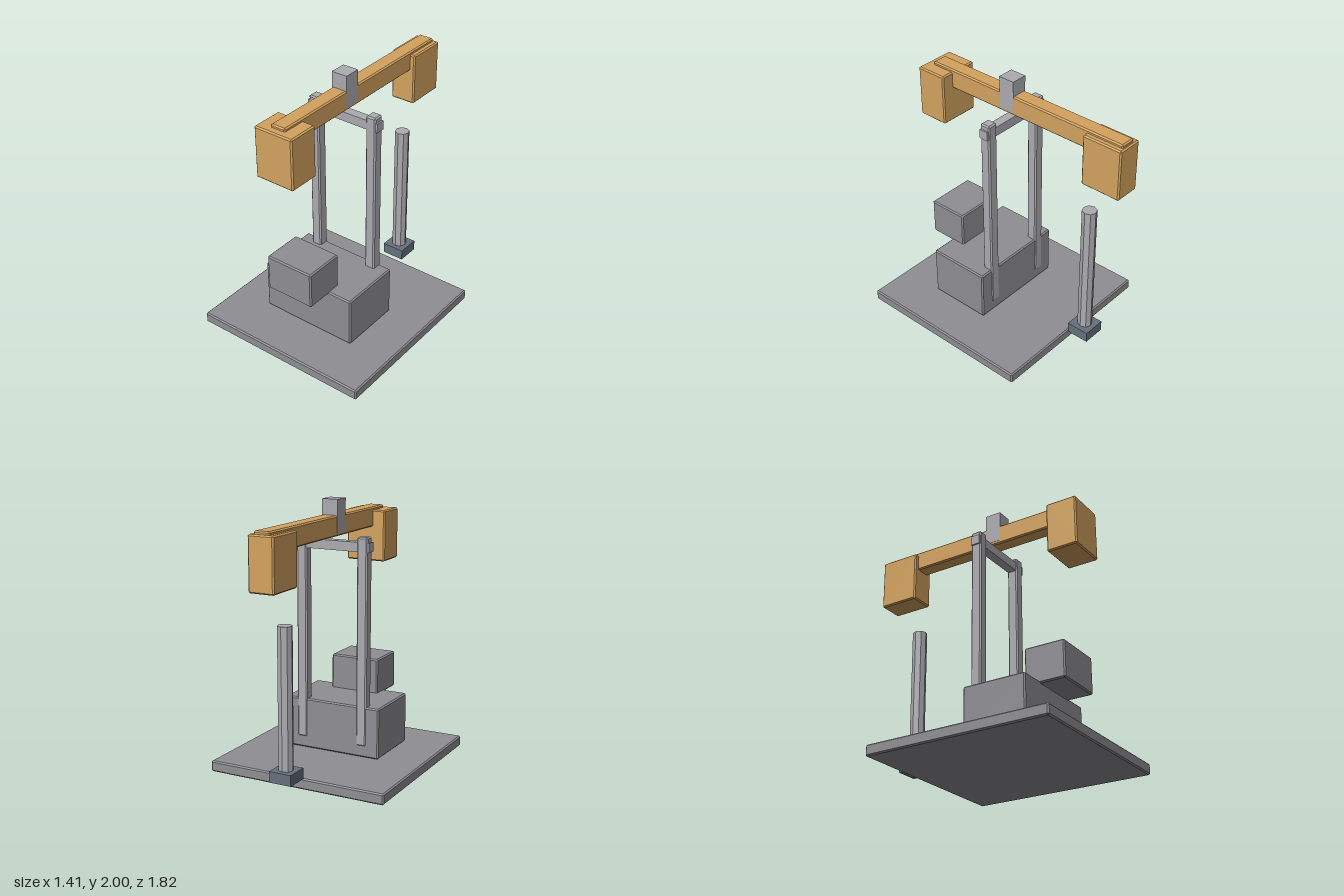
import * as THREE from 'three';
import { ConvexGeometry } from 'three/addons/geometries/ConvexGeometry.js';

const paint = (color) => new THREE.MeshStandardMaterial({ color, flatShading: true });

// Box with all edges chamfered by c: three points near each corner, hulled.
function chamferBox(w, h, d, c = 0.01) {
  const points = [];
  for (const sx of [-1, 1]) for (const sy of [-1, 1]) for (const sz of [-1, 1]) {
    for (const [a, b, e] of [[0, c, c], [c, 0, c], [c, c, 0]]) {
      points.push(new THREE.Vector3(sx * (w / 2 - a), sy * (h / 2 - b), sz * (d / 2 - e)));
    }
  }
  return new ConvexGeometry(points);
}

export function createModel() {
  const model = new THREE.Group();
  model.name = 'beamMachine';
  const darkGrey = paint(0x8f8f94);
  const lightGrey = paint(0xababb1);
  const slate = paint(0x66717d);
  const orange = paint(0xd4a35f);

  // Adds a box from its extents along each axis.
  function block(name, material, [x0, x1], [y0, y1], [z0, z1], chamfer = 0.01) {
    const size = [x1 - x0, y1 - y0, z1 - z0];
    const geometry = chamfer ? chamferBox(...size, chamfer) : new THREE.BoxGeometry(...size);
    const mesh = new THREE.Mesh(geometry, material);
    mesh.name = name;
    mesh.position.set((x0 + x1) / 2, (y0 + y1) / 2, (z0 + z1) / 2);
    model.add(mesh);
  }

  // Base and stacked housings
  block('basePlate', darkGrey, [-0.705, 0.705], [0, 0.083], [-0.505, 0.91]);
  block('lowerHousing', darkGrey, [-0.388, 0.388], [0.095, 0.482], [0.063, 0.555]);
  block('upperHousing', darkGrey, [-0.195, 0.195], [0.465, 0.747], [0.438, 0.752]);

  // Twin posts and the pivot bar between them
  for (const side of [-1, 1]) {
    const x = side * 0.247;
    block(side > 0 ? 'leftPost' : 'rightPost', lightGrey, [x - 0.041, x + 0.041], [0.18, 1.738], [0.057, 0.139]);
  }
  block('pivotBar', lightGrey, [-0.3, 0.3], [1.63, 1.7], [0.063, 0.133], 0);

  // Rocking beam with its bracket and end weights
  block('beam', orange, [-0.06, 0.06], [1.735, 1.885], [-0.893, 0.803]);
  block('beamBracket', lightGrey, [-0.062, 0.062], [1.76, 2], [0.035, 0.162], 0);
  block('frontWeight', orange, [-0.157, 0.157], [1.473, 1.862], [0.615, 0.857]);
  block('rearWeight', orange, [-0.098, 0.098], [1.473, 1.862], [-0.91, -0.597]);

  // Rod under the rear weight, with a square collar
  const rod = new THREE.Mesh(new THREE.CylinderGeometry(0.055, 0.055, 1.13, 8), lightGrey);
  rod.name = 'rod';
  rod.position.set(0, 0.642, -0.608);
  model.add(rod);
  block('rodCollar', slate, [-0.088, 0.088], [0.09, 0.172], [-0.696, -0.52], 0);

  return model;
}
